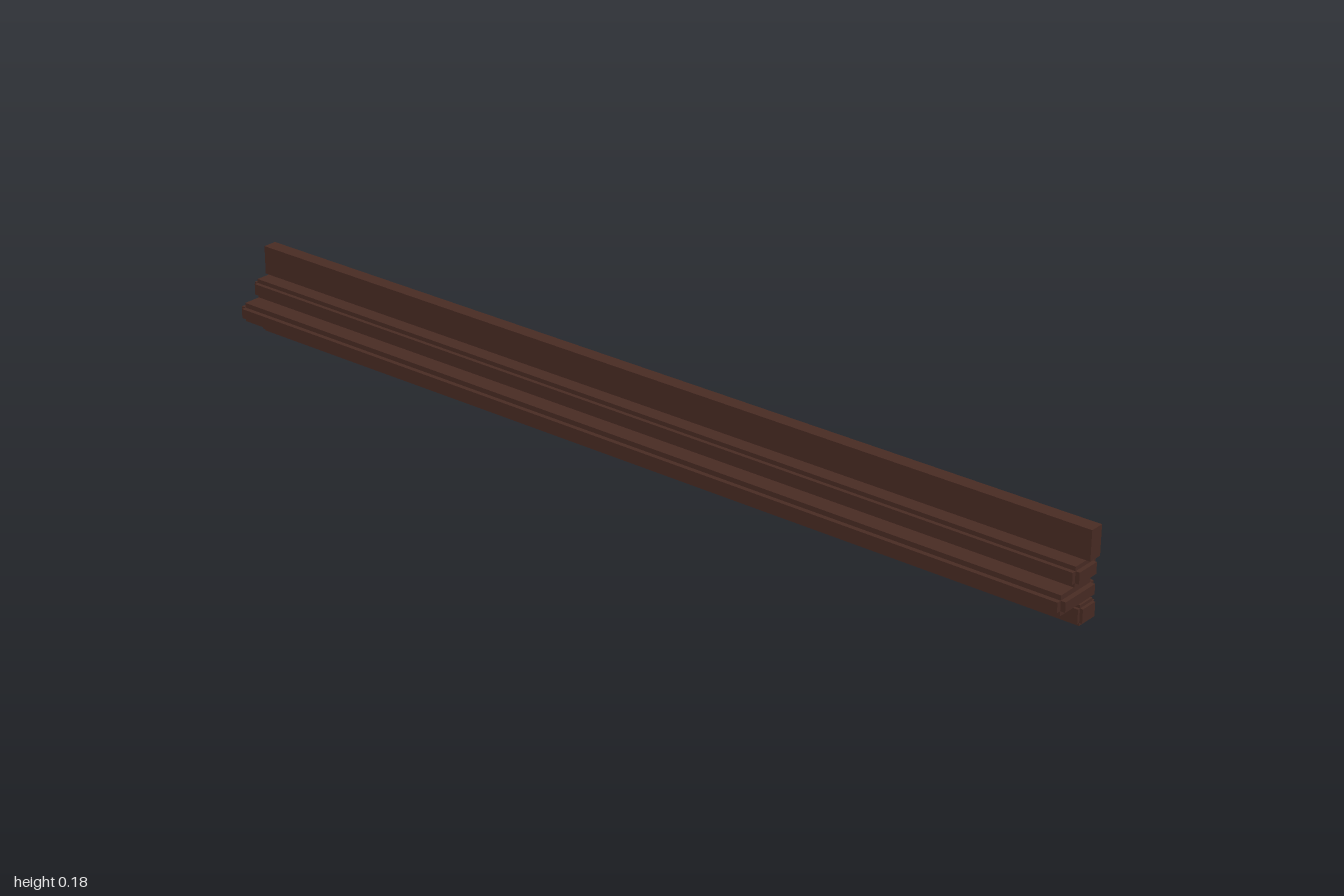
import * as THREE from 'three';

export function createModel() {
  const model = new THREE.Group();
  const darkWood = new THREE.MeshStandardMaterial({ color: 0x4a2c24 });
  darkWood.name = 'darkWood';

  // box spanning y0..y1 and z0..z1, centred on x
  function addBox(parent, name, length, y0, y1, z0, z1) {
    const mesh = new THREE.Mesh(new THREE.BoxGeometry(length, y1 - y0, z1 - z0), darkWood);
    mesh.position.set(0, (y0 + y1) / 2, (z0 + z1) / 2);
    mesh.name = name;
    parent.add(mesh);
  }

  // moulding strip with stepped edges: three crossing boxes, each full-size along one axis
  function addStrip(name, y0, y1, z0, z1, step) {
    const strip = new THREE.Group();
    strip.name = name;
    const s = step, length = 2;
    addBox(strip, name + 'Core', length, y0 + s, y1 - s, z0 + s, z1 - s);
    addBox(strip, name + 'Height', length - 2 * s, y0, y1, z0 + s, z1 - s);
    addBox(strip, name + 'Depth', length - 2 * s, y0 + s, y1 - s, z0, z1);
    model.add(strip);
  }

  // plain board along the top, flush with the back
  addBox(model, 'backBoard', 2, 0.12, 0.18, -0.055, -0.025);

  // three moulding strips below it, the middle one projecting furthest
  addStrip('upperStrip', 0.08, 0.12, -0.055, 0.015, 0.0085);
  addStrip('ledgeStrip', 0.04, 0.08, -0.055, 0.055, 0.01);
  addStrip('lowerStrip', 0, 0.04, -0.055, -0.005, 0.006);

  return model;
}
